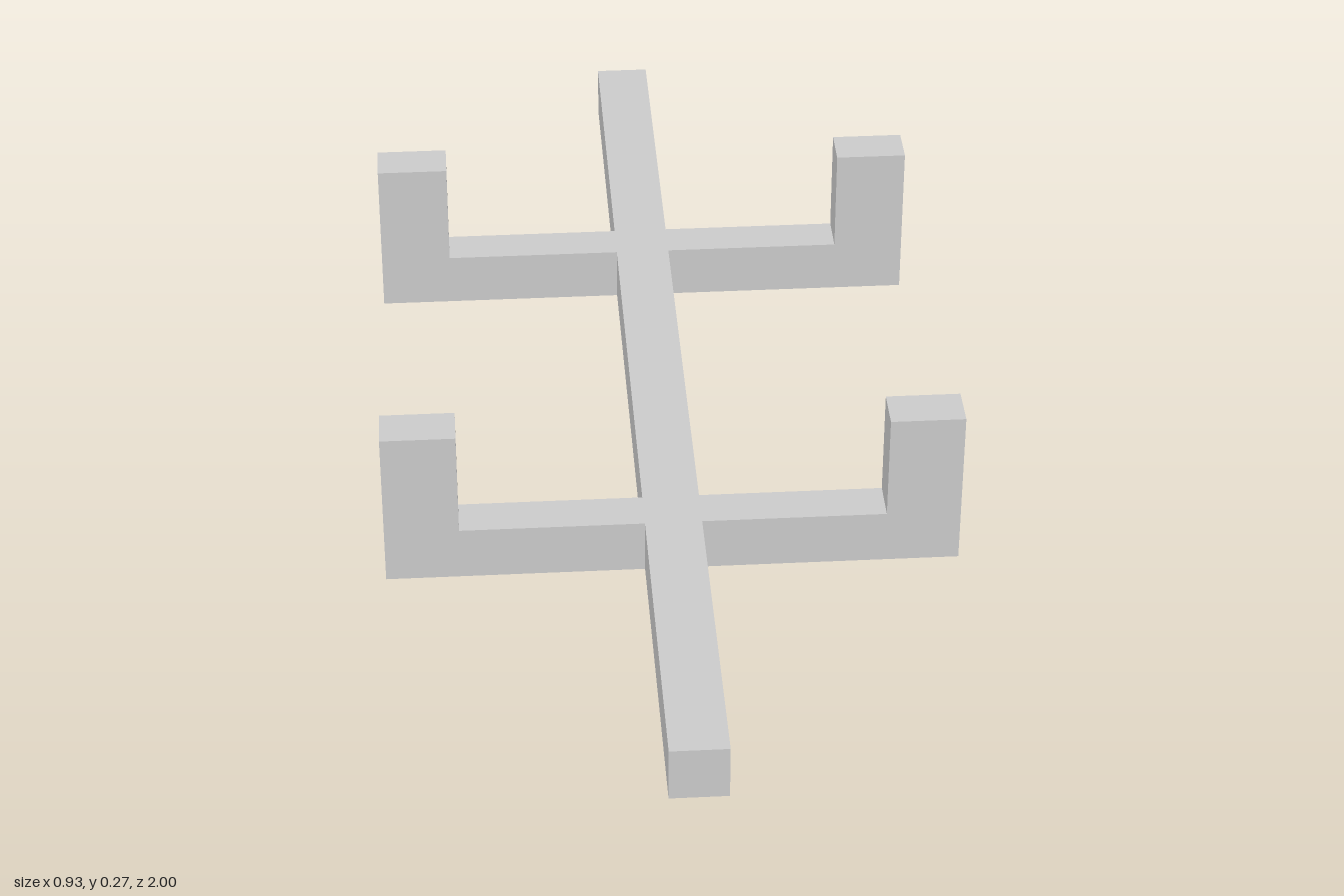
import * as THREE from 'three';

export function createModel() {
  const model = new THREE.Group();
  const material = new THREE.MeshStandardMaterial({ color: 0xcccccc, flatShading: true });

  const beamHalf = 0.046, beamHeight = 0.092;
  const armOuter = 0.464, armInner = 0.344, postHeight = 0.274, armDepth = 0.07;

  // Long central beam running front to back
  const beam = new THREE.Mesh(new THREE.BoxGeometry(beamHalf * 2, beamHeight, 2), material);
  beam.name = 'centralBeam';
  beam.position.y = beamHeight / 2;
  model.add(beam);

  // L-shaped arm: a horizontal bar from the beam's side ending in an upright post
  function createArm(side) {
    const points = [
      [beamHalf, 0], [armOuter, 0], [armOuter, postHeight],
      [armInner, postHeight], [armInner, beamHeight], [beamHalf, beamHeight],
    ].map(([x, y]) => new THREE.Vector2(side * x, y));
    const geometry = new THREE.ExtrudeGeometry(new THREE.Shape(points), {
      depth: armDepth, bevelEnabled: false,
    });
    geometry.translate(0, 0, -armDepth / 2);
    return new THREE.Mesh(geometry, material);
  }

  // Two pairs of mirrored arms
  for (const [pairName, z] of [['front', 0.408], ['back', -0.392]]) {
    for (const [sideName, side] of [['Left', 1], ['Right', -1]]) {
      const arm = createArm(side);
      arm.name = `${pairName}${sideName}Arm`;
      arm.position.z = z;
      model.add(arm);
    }
  }

  return model;
}
